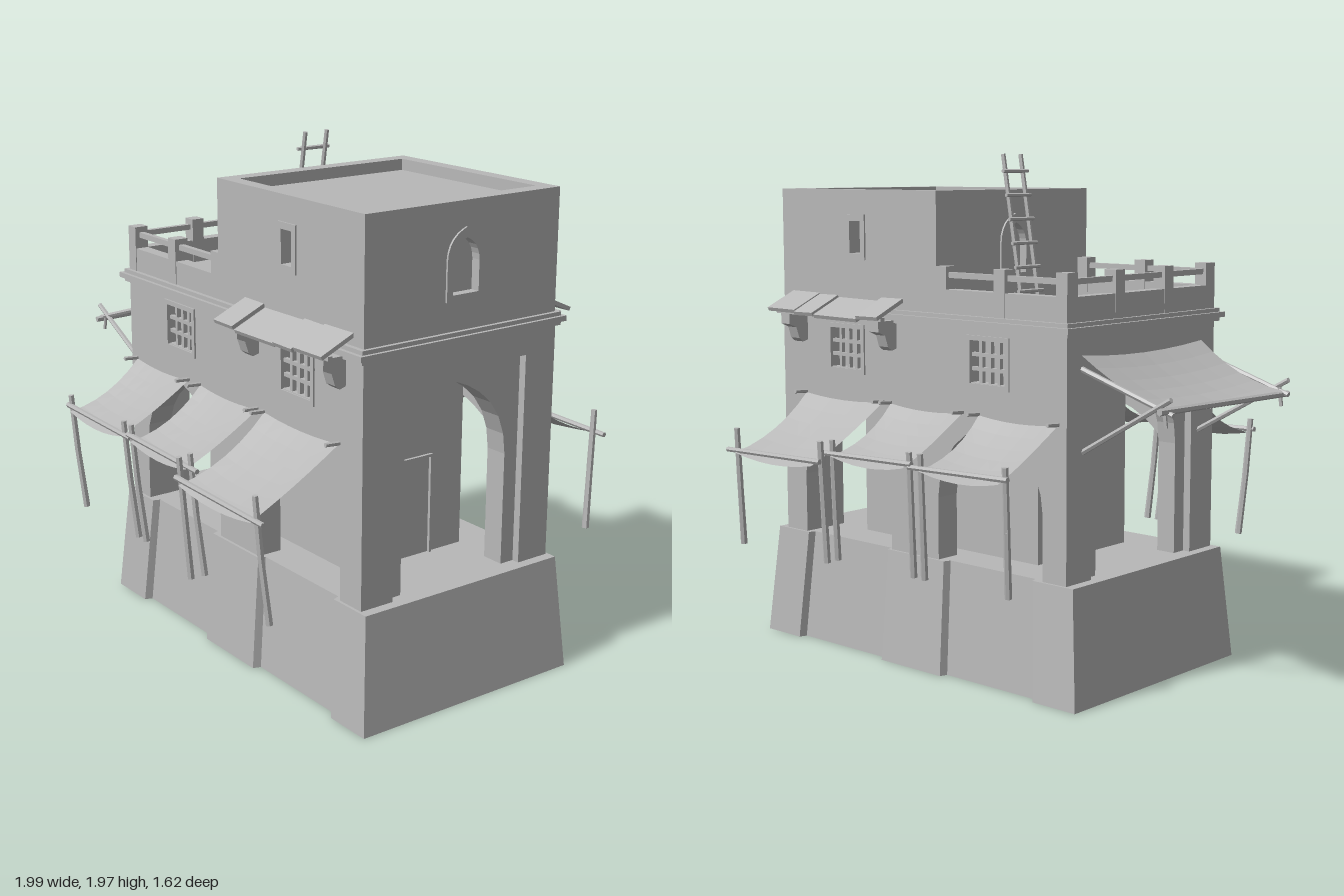
import * as THREE from 'three';

const plaster = new THREE.MeshStandardMaterial({ color: 0xb8b8b8, flatShading: true, side: THREE.DoubleSide });
plaster.name = 'plaster grey';
const V = (x, y, z) => new THREE.Vector3(x, y, z);

export function createModel() {
  const root = new THREE.Group();
  root.name = 'marketHouse';

  const add = (name, geo, x = 0, y = 0, z = 0) => {
    const m = new THREE.Mesh(geo, plaster);
    m.name = name;
    m.position.set(x, y, z);
    root.add(m);
    return m;
  };
  // box given by its limits
  const box = (name, x0, x1, y0, y1, z0, z1) =>
    add(name, new THREE.BoxGeometry(x1 - x0, y1 - y0, Math.abs(z1 - z0)), (x0 + x1) / 2, (y0 + y1) / 2, (z0 + z1) / 2);
  // round stick between two points
  const rod = (name, a, b, r = 0.011) => {
    const d = b.clone().sub(a);
    const m = add(name, new THREE.CylinderGeometry(r * 0.9, r, d.length(), 6));
    m.position.copy(a).add(b).multiplyScalar(0.5);
    m.quaternion.setFromUnitVectors(V(0, 1, 0), d.normalize());
    return m;
  };
  const poly = (pts, Kind = THREE.Shape) => new Kind(pts.map(p => new THREE.Vector2(p[0], p[1])));
  const rect = (x0, x1, y0, y1) => [[x0, y0], [x1, y0], [x1, y1], [x0, y1]];
  // pointed arch outline, running left foot, peak, right foot
  const arch = (cx, w, y0, ys, yp) => {
    const h = yp - ys;
    const half = [[1, 0], [0.96, 0.25], [0.85, 0.48], [0.68, 0.67], [0.46, 0.82], [0.22, 0.93]];
    const left = half.map(([a, b]) => [cx - w * a, ys + h * b]);
    const right = half.map(([a, b]) => [cx + w * a, ys + h * b]).reverse();
    return [[cx - w, y0], ...left, [cx, yp], ...right, [cx + w, y0]];
  };
  const extrude = (shape, depth) => new THREE.ExtrudeGeometry(shape, { depth, bevelEnabled: false });
  // wall parallel to the front, or (side) parallel to the right face, starting at offset
  const frontWall = (name, shape, z, depth) => add(name, extrude(shape, depth), 0, 0, z);
  const sideWall = (name, shape, x, depth) => add(name, extrude(shape, depth).rotateY(Math.PI / 2), x, 0, 0);
  const withHoles = (pts, holes) => {
    const s = poly(pts);
    holes.forEach(h => s.holes.push(poly(h, THREE.Path)));
    return s;
  };

  // ---- battered plinth, open underneath, with projecting piers
  const O = 0.485, I = 0.455;
  const edge = [[-0.67, O], [-0.47, O], [-0.46, I], [-0.01, I], [0, O], [0.32, O], [0.33, I], [0.8, I], [0.81, O], [1, O]];
  const loop = [...edge, ...edge.map(([x, z]) => [x, -z]).reverse()];
  const top = loop.map(([x, z]) => [0.165 + (x - 0.165) * 0.952, z * 0.93]);
  const tri = [];
  loop.forEach((a, i) => {
    const j = (i + 1) % loop.length, b = loop[j], c = top[j], d = top[i];
    tri.push(V(a[0], 0, a[1]), V(b[0], 0, b[1]), V(c[0], 0.44, c[1]));
    tri.push(V(a[0], 0, a[1]), V(c[0], 0.44, c[1]), V(d[0], 0.44, d[1]));
  });
  const sides = new THREE.BufferGeometry().setFromPoints(tri);
  sides.computeVertexNormals();
  add('plinthSides', sides);
  add('plinthTop', new THREE.ShapeGeometry(poly(top.map(([x, z]) => [x, -z]))).rotateX(-Math.PI / 2), 0, 0.44, 0);

  // ---- ground storey: arcaded long walls with barred windows
  const windows = [[-0.32, -0.11], [0.44, 0.65]];
  const longWall = withHoles(
    [[-0.59, 0.44], ...arch(-0.217, 0.262, 0.44, 0.68, 0.99), ...arch(0.55, 0.25, 0.44, 0.68, 0.99), [0.92, 0.44], [0.92, 1.34], [-0.59, 1.34]],
    windows.map(([a, b]) => rect(a + 0.015, b - 0.015, 1.135, 1.295)));
  for (const s of [1, -1]) {
    frontWall('arcadeWall', longWall, s > 0 ? 0.34 : -0.44, 0.1);
    for (const [a, b] of windows) {
      frontWall('windowFrame', withHoles(rect(a, b, 1.115, 1.31), [rect(a + 0.018, b - 0.018, 1.133, 1.292)]), s > 0 ? 0.435 : -0.447, 0.012);
      box('windowBack', a + 0.01, b - 0.01, 1.13, 1.3, s * 0.385, s * 0.393);
      for (let i = 1; i < 4; i++) {
        const x = a + (b - a) * (0.08 + 0.84 * i / 4);
        box('windowBar', x - 0.007, x + 0.007, 1.13, 1.295, s * 0.415, s * 0.432);
      }
      for (let i = 1; i < 3; i++) {
        const y = 1.133 + 0.159 * i / 3;
        box('windowCrossbar', a + 0.01, b - 0.01, y - 0.007, y + 0.007, s * 0.415, s * 0.432);
      }
    }
  }

  // end walls: large arch inside a shallow rectangular recess
  const recess = poly([[-0.44, 0.44], [-0.3, 0.44], [-0.3, 1.24], [0.3, 1.24], [0.3, 0.44], [0.44, 0.44], [0.44, 1.34], [-0.44, 1.34]]);
  const endWall = poly([[-0.36, 0.44], ...arch(0, 0.24, 0.44, 0.87, 1.185), [0.36, 0.44], [0.36, 1.34], [-0.36, 1.34]]);
  sideWall('endWallFace', recess, 0.89, 0.03);
  sideWall('endWall', endWall, 0.8, 0.09);
  sideWall('endWallFace', recess, -0.59, 0.03);
  sideWall('endWall', endWall, -0.56, 0.08);

  // inner room with a door
  box('innerRoom', -0.3, 0.635, 0.44, 1.335, -0.26, 0.26);
  const doorFrame = poly([[-0.11, 0.44], [-0.1, 0.44], [-0.1, 0.82], [0.1, 0.82], [0.1, 0.44], [0.11, 0.44], [0.11, 0.83], [-0.11, 0.83]]);
  sideWall('doorFrame', doorFrame, 0.635, 0.012);

  // ---- cornice slab carrying the terrace
  box('corniceLower', -0.605, 0.932, 1.33, 1.345, -0.455, 0.455);
  box('cornice', -0.62, 0.945, 1.345, 1.365, -0.47, 0.47);
  box('corniceUpper', -0.605, 0.932, 1.365, 1.38, -0.455, 0.455);

  // ---- terrace parapet, posts and rails
  for (const s of [1, -1]) {
    box('parapet', -0.59, 0.05, 1.375, 1.47, s * 0.385, s * 0.437);
    for (const x of [-0.59, -0.295]) box('parapetPost', x, x + 0.052, 1.375, 1.555, s * 0.383, s * 0.44);
    box('parapetPost', 0, 0.06, 1.375, 1.555, s * 0.383, s * 0.437);
    box('handrail', -0.56, 0.02, 1.512, 1.533, s * 0.4, s * 0.422);
    box('parapetPost', -0.592, -0.538, 1.375, 1.555, s * 0.12, s * 0.172);
  }
  box('parapet', -0.59, -0.54, 1.375, 1.47, -0.43, 0.43);
  box('handrail', -0.577, -0.555, 1.512, 1.533, -0.42, 0.42);

  // ---- upper room
  const slot = rect(0.457, 0.517, 1.587, 1.712);
  const roomLong = withHoles(rect(0.05, 0.917, 1.375, 1.833), [slot]);
  const lancet = arch(0, 0.058, 1.51, 1.62, 1.705);
  const roomEnd = withHoles(rect(-0.38, 0.38, 1.375, 1.833), [lancet]);
  for (const s of [1, -1]) {
    frontWall('upperWall', roomLong, s > 0 ? 0.38 : -0.437, 0.057);
    frontWall('upperWindowFrame', withHoles(rect(0.433, 0.541, 1.562, 1.737), [slot]), s > 0 ? 0.43 : -0.444, 0.014);
  }
  for (const x of [0.05, 0.855]) {
    sideWall('upperEndWall', roomEnd, x, 0.062);
    sideWall('lancetFrame', withHoles(arch(0, 0.085, 1.487, 1.63, 1.742), [lancet]), x < 0.5 ? 0.042 : 0.91, 0.015);
    box('lancetPanel', x + 0.025, x + 0.033, 1.5, 1.71, -0.06, 0.06);
  }
  box('upperRoof', 0.1, 0.87, 1.765, 1.79, -0.39, 0.39);

  // ---- ladder leaning on the upper room
  const lean = t => -0.035 + 0.1 * t, rise = t => 1.385 + 0.583 * t;
  for (const z of [-0.05, 0.05]) rod('ladderRail', V(lean(0), rise(0), z), V(lean(1), rise(1), z), 0.01);
  for (let i = 0; i < 6; i++) {
    const t = 0.1 + 0.158 * i;
    rod('ladderRung', V(lean(t) - 0.008, rise(t), -0.072), V(lean(t) - 0.008, rise(t), 0.072), 0.008);
  }

  // ---- sagging cloth: across u (0..1), outwards v (0..1)
  const cloth = (name, place) => {
    const g = new THREE.PlaneGeometry(1, 1, 6, 6), p = g.attributes.position;
    for (let i = 0; i < p.count; i++) {
      const q = place(p.getX(i) + 0.5, 0.5 - p.getY(i));
      p.setXYZ(i, q.x, q.y, q.z);
    }
    g.computeVertexNormals();
    add(name, g);
  };
  const bow = t => 4 * t * (1 - t);

  for (const s of [1, -1]) {
    // market awnings: left edge, right edge, reach, outer height
    for (const [a, b, reach, low] of [[-0.55, -0.165, 0.755, 0.85], [-0.085, 0.3, 0.755, 0.85], [0.342, 0.79, 0.812, 0.815]]) {
      cloth('awningCloth', (u, v) => V(
        a + (b - a) * u + (0.5 - u) * 0.04 * bow(v),
        1.02 + (low - 1.02) * v - 0.025 * bow(v) - 0.022 * bow(u) * (0.6 + 0.4 * v),
        s * (0.435 + (reach - 0.435) * v)));
      const y = low + 0.012, z = reach - 0.012;
      rod('awningPole', V(a - 0.035, y + 0.006, s * z), V(b + 0.06, y - 0.006, s * z));
      for (const x of [a, b]) {
        rod('awningPeg', V(x, 1.02, s * 0.43), V(x, 1.025, s * 0.5), 0.009);
        const px = x === a ? x - 0.012 : x + 0.012;
        if (x === a && a > 0.3) {
          rod('awningPost', V(0.325, 0.44, s * (z - 0.045)), V(0.315, 0.91, s * (z - 0.01)), 0.014);
        } else {
          const mid = V(px + 0.002, 0.68, s * (z - 0.022));
          rod('awningPost', V(px + 0.016, 0.44, s * (z - 0.045)), mid, 0.014);
          rod('awningPost', mid, V(px - 0.006, 0.91, s * (z - 0.005)), 0.013);
        }
      }
    }

    // plank canopy on curved brackets
    const bracket = poly([[0.43, 1.34], [0.535, 1.34], [0.535, 1.3], [0.5, 1.285], [0.485, 1.24], [0.465, 1.225], [0.43, 1.235]]);
    for (const x of [0.288, 0.8]) {
      const m = add('canopyBracket', extrude(bracket, 0.05).translate(0, 0, -0.025), x, 0, 0);
      m.rotation.y = -s * Math.PI / 2;
    }
    [[0.228, 0.345, 0.008], [0.35, 0.59, -0.004], [0.592, 0.7, 0.004], [0.703, 0.862, 0.01]].forEach(([a, b, lift], i) => {
      const m = box('canopyPlank', a, b, 1.37 + lift, 1.385 + lift, s * (0.43 - 0.004 * (i % 2)), s * (0.582 - 0.006 * (i % 2)));
      m.rotation.x = s * 0.42;
      m.rotation.z = (i % 2 ? 1 : -1) * 0.012;
    });
    box('canopyBeam', 0.25, 0.85, 1.34, 1.355, s * 0.515, s * 0.535);
  }

  // ---- end awning on struts over the left arch
  cloth('endAwningCloth', (u, v) => V(
    -0.585 - 0.385 * v,
    1.265 - 0.165 * v - 0.03 * bow(v) - 0.018 * bow(u),
    (u - 0.5) * (0.72 - 0.03 * bow(v))));
  rod('endAwningPole', V(-0.965, 1.1, -0.4), V(-0.965, 1.085, 0.39), 0.013);
  for (const z of [-0.355, 0.355]) {
    rod('endAwningArm', V(-0.58, 1.215, z), V(-0.99, 1.085, z));
    rod('endAwningStrut', V(-0.58, 0.91, z * 0.98), V(-0.985, 1.14, z * 1.02));
    rod('endAwningTie', V(-0.95, 1.11, z), V(-0.96, 1.04, z), 0.008);
  }
  return root;
}
